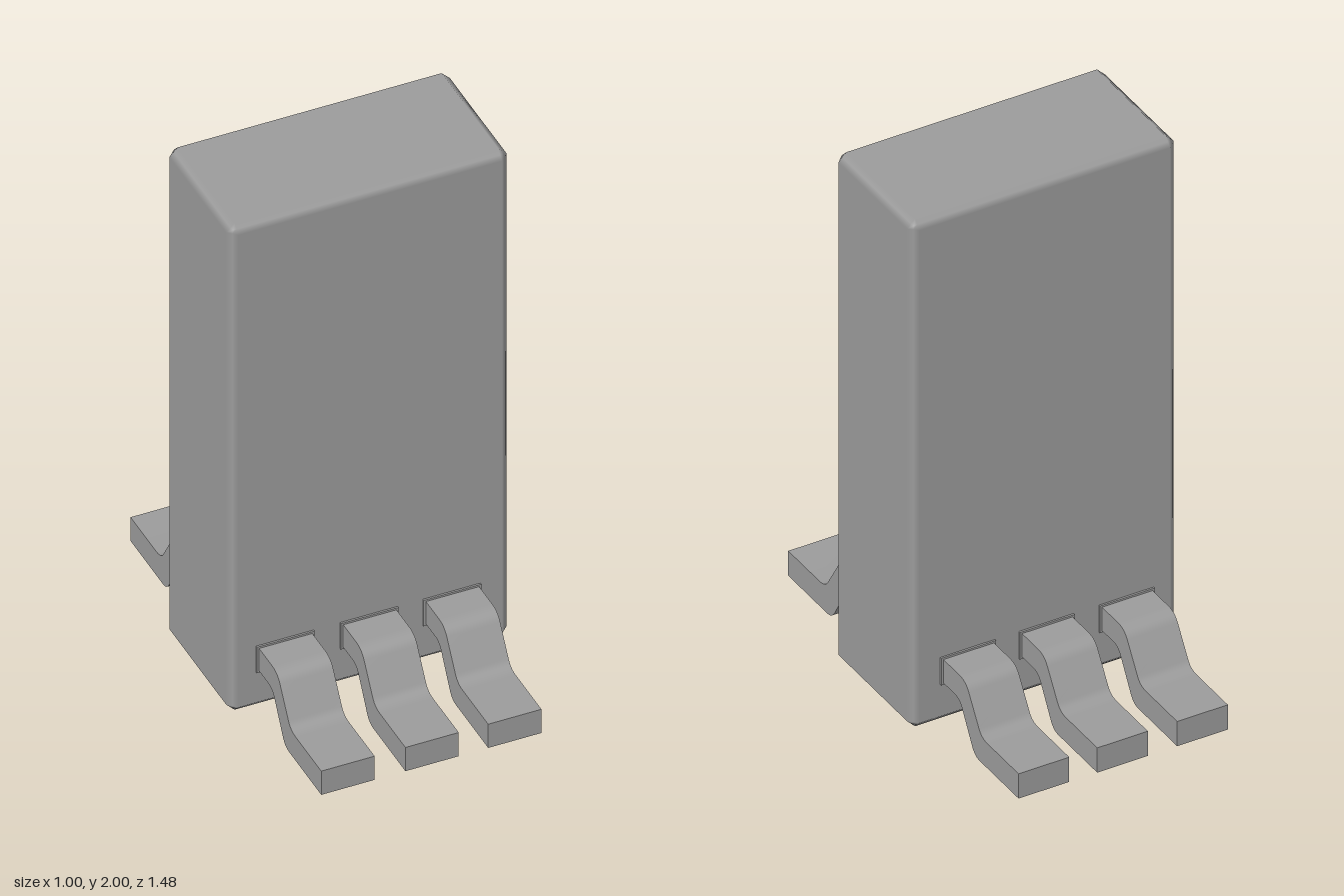
import * as THREE from 'three';
import { toCreasedNormals } from 'three/addons/utils/BufferGeometryUtils.js';
import { RoundedBoxGeometry } from 'three/addons/geometries/RoundedBoxGeometry.js';

const LEG_WIDTH = 0.19;
const LEG_X = [-0.305, -0.005, 0.29];
const CHAMFER = 0.03;

// Removes the flat underside, leaving a shell that is open at the bottom
function openBottom(geo) {
  geo.computeBoundingBox();
  const limit = geo.boundingBox.min.y + 1e-4;
  const pos = geo.attributes.position;
  const keep = [];
  for (let i = 0; i < pos.count; i += 3) {
    if (Math.max(pos.getY(i), pos.getY(i + 1), pos.getY(i + 2)) > limit) keep.push(i, i + 1, i + 2);
  }
  geo.setIndex(keep);
  geo.clearGroups();
  return geo;
}

// Box whose rounded edges are flattened to 45 degree chamfers with soft shading
function bodyGeometry() {
  const geo = new RoundedBoxGeometry(1, 1.994, 0.5, 1, CHAMFER);
  const pos = geo.attributes.position;
  const p = new THREE.Vector3();
  const n = new THREE.Vector3();
  for (let i = 0; i < pos.count; i++) {
    p.fromBufferAttribute(pos, i);
    n.fromBufferAttribute(geo.attributes.normal, i);
    p.addScaledVector(n, CHAMFER * (1 / n.manhattanLength() - 1));
    pos.setXYZ(i, p.x, p.y, p.z);
  }
  return openBottom(geo);
}

// Side profile of a bent lead: x runs outward from the body, y is up
function legGeometry() {
  const s = new THREE.Shape();
  s.moveTo(0.252, 0.26);
  s.lineTo(0.36, 0.26);
  s.quadraticCurveTo(0.4, 0.26, 0.42, 0.228);
  s.lineTo(0.485, 0.125);
  s.quadraticCurveTo(0.502, 0.097, 0.54, 0.097);
  s.lineTo(0.74, 0.097);
  s.lineTo(0.74, 0);
  s.lineTo(0.49, 0);
  s.quadraticCurveTo(0.457, 0, 0.44, 0.032);
  s.lineTo(0.378, 0.138);
  s.quadraticCurveTo(0.36, 0.168, 0.33, 0.168);
  s.lineTo(0.252, 0.168);
  s.closePath();
  const geo = new THREE.ExtrudeGeometry(s, { depth: LEG_WIDTH, bevelEnabled: false, curveSegments: 6 });
  geo.translate(0, 0, -LEG_WIDTH / 2);
  return openBottom(toCreasedNormals(geo, 0.6));
}

export function createModel() {
  const model = new THREE.Group();
  const material = new THREE.MeshStandardMaterial({ color: 0x9b9b9b, side: THREE.DoubleSide });
  const add = (name, geometry, parent = model) => {
    const mesh = new THREE.Mesh(geometry, material);
    mesh.name = name;
    parent.add(mesh);
    return mesh;
  };

  // Tall chamfered shell, open underneath
  add('body', bodyGeometry()).position.y = 1.003;

  // Three leads on the front and three on the back, each with a thin collar
  const legGeo = legGeometry();
  const collarGeo = new THREE.BoxGeometry(0.206, 0.106, 0.01);
  for (const side of [1, -1]) {
    for (const x of LEG_X) {
      const lead = new THREE.Group();
      lead.name = side > 0 ? 'frontLead' : 'backLead';
      lead.position.x = x;
      add('leg', legGeo, lead).rotation.y = -side * Math.PI / 2;
      add('collar', collarGeo, lead).position.set(0, 0.214, side * 0.252);
      model.add(lead);
    }
  }
  return model;
}
